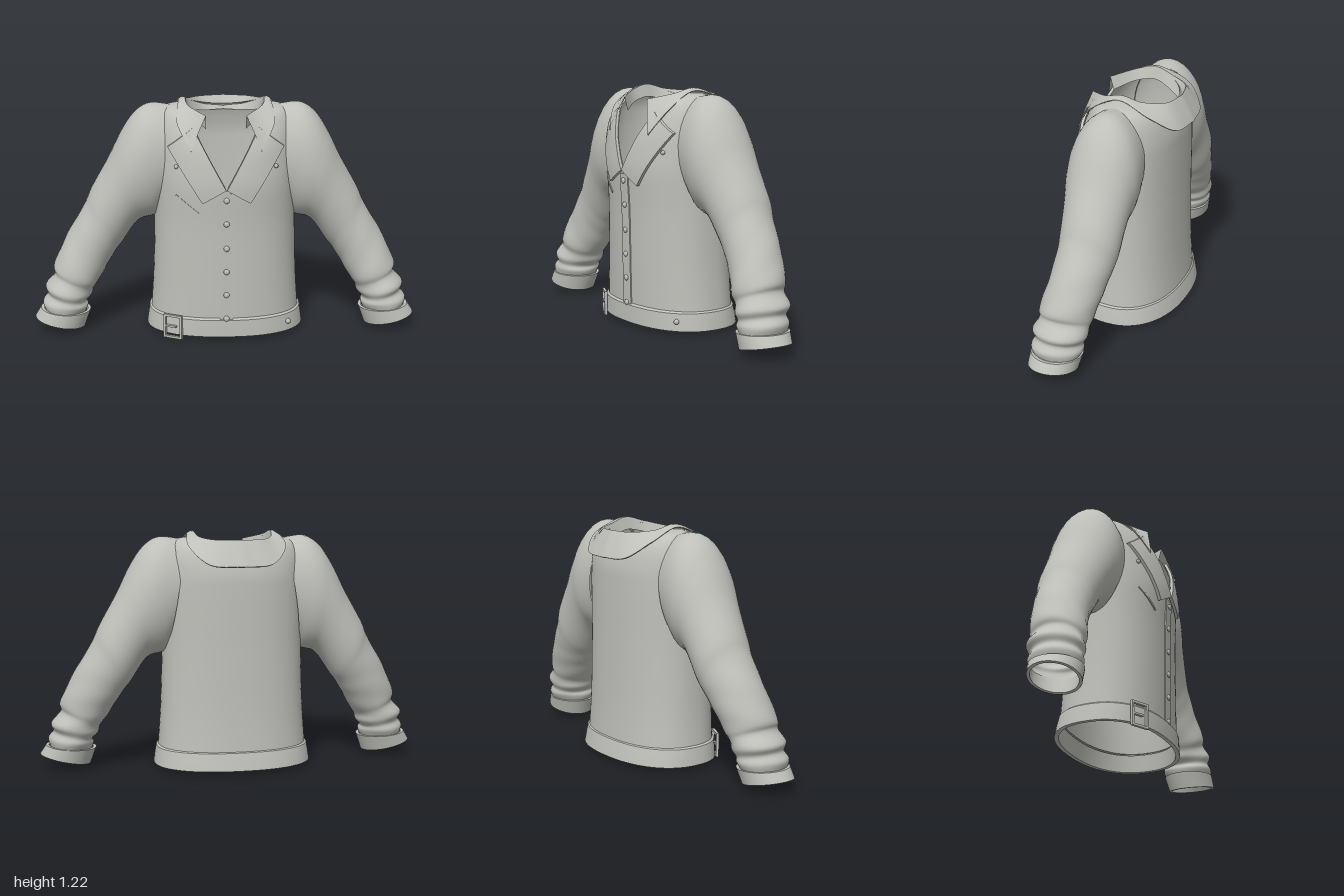
import * as THREE from 'three';
import { toCreasedNormals } from 'three/addons/utils/BufferGeometryUtils.js';

const N = 2.3; // roundness of the torso cross-section

// Smooth interpolation through rows of numbers; t runs from 0 to 1
function spline(keys) {
  const c = new THREE.CubicInterpolant(keys.map((_, i) => i), keys.flat(), keys[0].length, new Float32Array(keys[0].length));
  return t => Array.from(c.evaluate(Math.min(Math.max(t, 0), 1) * (keys.length - 1)));
}

// Skin over rows of points
function loft(rows, closed, crease) {
  const n = rows[0].length, idx = [];
  for (let r = 0; r < rows.length - 1; r++) {
    for (let i = 0; i < (closed ? n : n - 1); i++) {
      const j = (i + 1) % n, a = r * n + i, b = r * n + j;
      idx.push(a, b, a + n, b, b + n, a + n);
    }
  }
  const g = new THREE.BufferGeometry();
  g.setAttribute('position', new THREE.Float32BufferAttribute(rows.flat(2), 3));
  g.setIndex(idx);
  g.computeVertexNormals();
  return crease ? toCreasedNormals(g, crease) : g;
}

// Torso sections: side height, front/back height, half width, front depth, back depth
const torsoAt = spline([
  [0.03, 0.03, 0.395, 0.26, 0.26], [0.3, 0.3, 0.375, 0.265, 0.245],
  [0.6, 0.6, 0.365, 0.27, 0.24], [0.8, 0.8, 0.365, 0.28, 0.24],
  [0.92, 0.92, 0.365, 0.268, 0.24], [1.03, 1.0, 0.36, 0.25, 0.238],
  [1.12, 1.07, 0.345, 0.222, 0.225], [1.18, 1.12, 0.3, 0.2, 0.21],
  [1.198, 1.15, 0.2, 0.185, 0.195],
]);

// Superellipse point, angle measured from the front centre
function oval(a, w, f, b) {
  const s = Math.sin(a), c = Math.cos(a);
  const p = v => Math.sign(v) * Math.pow(Math.abs(v), 2 / N);
  return [w * p(s), p(c) * (c > 0 ? f : b)];
}

// Depth of the torso front at x, y
function frontZ(x, y) {
  let best = 9, z = 0;
  for (let i = 0; i <= 200; i++) {
    const [ys, yf, w, f] = torsoAt(i / 200);
    const q = Math.min(1, Math.pow(Math.abs(x) / w, N));
    const d = Math.abs(yf + (ys - yf) * q - y);
    if (d < best) { best = d; z = f * Math.pow(1 - q, 1 / N); }
  }
  return z;
}

function torsoGeometry() {
  const rows = [];
  for (let r = 0; r <= 56; r++) {
    const [ys, yf, w, f, b] = torsoAt(r / 56), row = [];
    // the V neck opens wider with height
    const gap = Math.min(0.9 * w, Math.max(0, (yf - 0.81) * 0.55));
    const a0 = Math.asin(Math.pow(gap / w, N / 2));
    for (let i = 0; i <= 72; i++) {
      const a = a0 + (2 * Math.PI - 2 * a0) * i / 72;
      const [x, z] = oval(a, w, f, b);
      row.push([x, yf + (ys - yf) * Math.sin(a) ** 2, z]);
    }
    rows.push(row);
  }
  return loft(rows, false);
}

// Ring spanning an outer and an inner point of the arm
function armRing([tx, ty, bx, by, zc, rz], grow = 0, ripple = 0) {
  return Array.from({ length: 36 }, (_, i) => {
    const a = i / 36 * Math.PI * 2;
    const k = 1 + grow + ripple * Math.sin(a * 3 + ty * 40);
    const c = Math.cos(a) * k / 2;
    return [(tx + bx) / 2 + (tx - bx) * c, (ty + by) / 2 + (ty - by) * c, zc + Math.sin(a) * rz * k];
  });
}

// Thin curved plate on the torso front, between four corners
function plate([p, q, r, s], offset, thick) {
  const g = new THREE.BoxGeometry(1, 1, 1, 8, 12, 1), at = g.attributes.position;
  for (let i = 0; i < at.count; i++) {
    const u = at.getX(i) + 0.5, v = at.getY(i) + 0.5;
    const mix = k => (p[k] * (1 - u) + q[k] * u) * (1 - v) + (r[k] * (1 - u) + s[k] * u) * v;
    const x = mix(0), y = mix(1);
    at.setXYZ(i, x, y, frontZ(x, y) + offset + at.getZ(i) * thick);
  }
  g.computeVertexNormals();
  return g;
}

export function createModel() {
  const cloth = new THREE.MeshStandardMaterial({ color: 0xc0c0bb, side: THREE.DoubleSide });
  cloth.name = 'grey cloth';
  const model = new THREE.Group();
  model.name = 'jacket';
  const add = (name, geometry, parent = model) => {
    const m = new THREE.Mesh(geometry, cloth);
    m.name = name;
    parent.add(m);
    return m;
  };

  add('torso', torsoGeometry());

  // Waistband with a thick rim
  const band = [[0.12, 0.385, 0.262, 0.245], [0.11, 0.398, 0.272, 0.262], [0.07, 0.405, 0.273, 0.272],
    [0.02, 0.412, 0.273, 0.282], [0.02, 0.39, 0.252, 0.26], [0.11, 0.378, 0.252, 0.245]];
  add('waistband', loft(band.map(([y, w, f, b]) => Array.from({ length: 72 }, (_, i) => {
    const [x, z] = oval(i / 72 * Math.PI * 2, w, f, b);
    return [x, y, z];
  })), true, 0.7));

  // Sleeve sections: outer x, y, inner x, y, centre z, half depth
  const sleeve = spline([
    [0.26, 1.185, 0.345, 0.64, 0, 0.165], [0.38, 1.197, 0.36, 0.61, 0, 0.178],
    [0.46, 1.15, 0.39, 0.6, 0, 0.182], [0.53, 1.05, 0.43, 0.59, 0, 0.174],
    [0.6, 0.91, 0.47, 0.555, -0.005, 0.162], [0.69, 0.75, 0.53, 0.465, -0.01, 0.152],
    [0.73, 0.66, 0.565, 0.42, -0.005, 0.144], [0.82, 0.51, 0.61, 0.35, 0.01, 0.138],
    [0.89, 0.36, 0.66, 0.265, 0.035, 0.138], [0.89, 0.305, 0.69, 0.225, 0.04, 0.128],
    [0.94, 0.245, 0.7, 0.19, 0.048, 0.14], [0.928, 0.2, 0.725, 0.16, 0.053, 0.125],
    [0.955, 0.16, 0.72, 0.135, 0.058, 0.132], [0.945, 0.11, 0.735, 0.1, 0.062, 0.118],
  ]);
  const cuffTop = [0.968, 0.125, 0.708, 0.108, 0.06, 0.13], cuffEnd = [0.998, 0.078, 0.738, 0.022, 0.068, 0.124];

  // Collar: stand, fold and falling edge, from back centre to front tip
  const collarAt = spline([
    [0, 1.12, -0.195, 0, 1.19, -0.232, 0, 1.06, -0.298],
    [0.1, 1.12, -0.165, 0.12, 1.19, -0.2, 0.16, 1.07, -0.268],
    [0.165, 1.14, -0.08, 0.185, 1.2, -0.1, 0.25, 1.155, -0.16],
    [0.185, 1.16, 0, 0.2, 1.225, 0, 0.235, 1.212, 0.01],
    [0.165, 1.14, 0.1, 0.185, 1.2, 0.1, 0.245, 1.13, 0.17],
    [0.1, 1.1, 0.19, 0.1, 1.17, 0.21, 0.175, 1.0, 0.258],
  ]);
  const collarRows = Array.from({ length: 61 }, (_, i) => {
    const t = (i - 30) / 30, k = collarAt(Math.abs(t)), m = t < 0 ? -1 : 1;
    const P = j => [k[j] * m, k[j + 1], k[j + 2]];
    const [st, fo, ed] = [P(0), P(3), P(6)];
    const under = [ed[0] * 0.98, ed[1] - 0.004, ed[2] * 0.97];
    return [st, fo, fo.map((v, j) => v * 0.5 + ed[j] * 0.5 + (j === 1 ? 0.006 : 0)), ed, under];
  });
  add('collar', loft(collarRows, false, 0.8));

  // Mirrored parts
  for (const side of [1, -1]) {
    const half = new THREE.Group();
    half.name = side > 0 ? 'leftSide' : 'rightSide';
    half.scale.x = side;
    model.add(half);
    add('sleeve', loft(Array.from({ length: 79 }, (_, i) => {
      const t = i / 78;
      return armRing(sleeve(t), 0, 0.018 * THREE.MathUtils.smoothstep(t, 0.3, 0.75));
    }), true), half);
    add('cuff', loft([armRing(cuffTop, -0.12), armRing(cuffTop), armRing(cuffEnd),
      armRing(cuffEnd, -0.12), armRing(cuffTop, -0.14)], true, 0.7), half);
    add('lapel', plate([[0.002, 0.81], [0.12, 0.74], [0.165, 1.11], [0.292, 1.01]], 0.012, 0.016), half);
    const stud = add('lapelStud', new THREE.SphereGeometry(0.011, 12, 8), half);
    stud.position.set(0.25, 0.915, frontZ(0.25, 0.915) + 0.006);
  }

  // Button strip and buttons
  add('placket', plate([[-0.034, 0.11], [0.034, 0.11], [-0.034, 0.79], [0.034, 0.79]], 0.002, 0.008));
  for (const y of [0.12, 0.25, 0.375, 0.5, 0.63, 0.755]) {
    const b = add('button', new THREE.SphereGeometry(0.015, 16, 10));
    b.scale.z = 0.6;
    b.position.set(0, y, frontZ(0, y) + 0.009);
  }
  add('chestPocketEdge', plate([[-0.255, 0.765], [-0.14, 0.675], [-0.25, 0.773], [-0.135, 0.683]], 0.002, 0.006));

  // Belt buckle and belt stud
  const buckle = new THREE.Group();
  buckle.name = 'buckle';
  buckle.position.set(-0.275, 0.065, 0.228);
  buckle.rotation.y = -0.45;
  model.add(buckle);
  for (const [x, y, w, h] of [[-0.046, 0, 0.012, 0.128], [0.046, 0, 0.012, 0.128], [0, 0.058, 0.1, 0.012],
    [0, -0.058, 0.1, 0.012], [-0.012, 0, 0.06, 0.01]]) {
    add('buckleBar', new THREE.BoxGeometry(w, h, 0.014), buckle).position.set(x, y, 0);
  }
  add('beltStud', new THREE.SphereGeometry(0.014, 12, 8)).position.set(0.325, 0.07, 0.189);

  return model;
}
